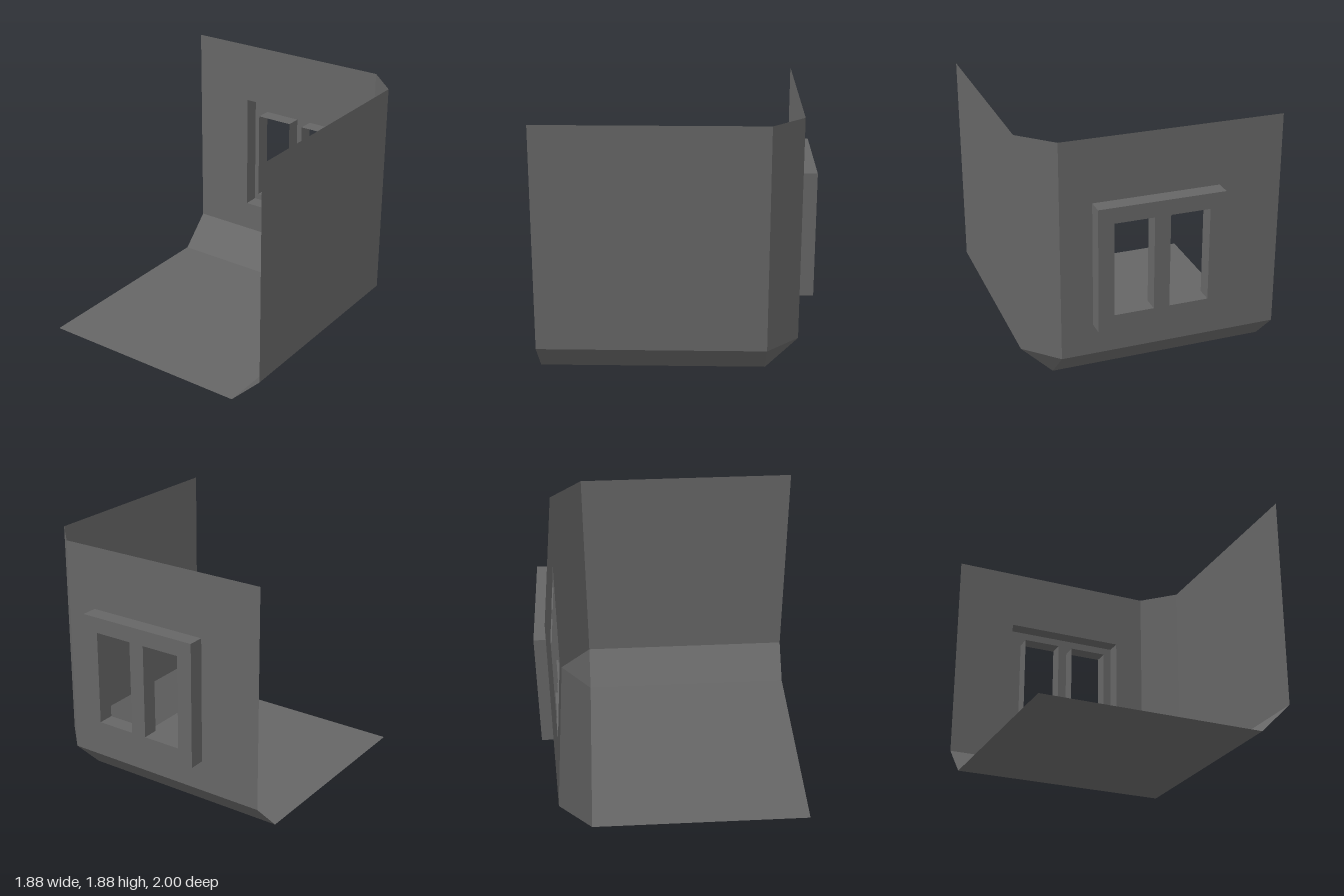
import * as THREE from 'three';

const W = 0.94, H = 1.88, BEVEL = 0.235;
const XB = W - BEVEL;                 // where the floor and back wall meet the bevels
const FRONT = 1, WALL = -0.88, PANEL = -1;
const ZB = WALL + BEVEL;              // where the floor meets the back bevel

const grey = new THREE.MeshStandardMaterial({ color: 0x666666, side: THREE.DoubleSide, flatShading: true });
grey.name = 'dark grey';

// Flat convex sheet from three or four corners
function sheet(name, corners) {
  const geo = new THREE.BufferGeometry();
  geo.setAttribute('position', new THREE.Float32BufferAttribute(corners.flat(), 3));
  geo.setIndex(corners.length === 4 ? [0, 1, 2, 0, 2, 3] : [0, 1, 2]);
  geo.computeVertexNormals();
  const mesh = new THREE.Mesh(geo, grey);
  mesh.name = name;
  return mesh;
}

const rectPoints = ([x0, x1, y0, y1]) =>
  [[x0, y0], [x1, y0], [x1, y1], [x0, y1]].map(([x, y]) => new THREE.Vector2(x, y));

// Upright rectangle at depth z with rectangular openings
function wallWithHoles(name, rect, holes, z) {
  const shape = new THREE.Shape(rectPoints(rect));
  for (const h of holes) shape.holes.push(new THREE.Path(rectPoints(h).reverse()));
  const mesh = new THREE.Mesh(new THREE.ShapeGeometry(shape), grey);
  mesh.name = name;
  mesh.position.z = z;
  return mesh;
}

// Four thin sides of a rectangular opening, from the wall to the window panel
function sleeve(name, rect) {
  const group = new THREE.Group();
  group.name = name;
  const p = rectPoints(rect);
  p.forEach((a, i) => {
    const b = p[(i + 1) % 4];
    group.add(sheet(name + 'Side' + i,
      [[a.x, a.y, WALL], [b.x, b.y, WALL], [b.x, b.y, PANEL], [a.x, a.y, PANEL]]));
  });
  return group;
}

export function createModel() {
  const room = new THREE.Group();
  room.name = 'roomCorner';

  // Floor and side wall
  room.add(sheet('floor', [[-W, 0, FRONT], [XB, 0, FRONT], [XB, 0, ZB], [-W, 0, ZB]]));
  room.add(sheet('sideWall', [[W, BEVEL, FRONT], [W, H, FRONT], [W, H, ZB], [W, BEVEL, ZB]]));

  // Bevels joining floor and walls, with the small corner triangle
  room.add(sheet('backFloorBevel', [[-W, 0, ZB], [XB, 0, ZB], [XB, BEVEL, WALL], [-W, BEVEL, WALL]]));
  room.add(sheet('sideFloorBevel', [[XB, 0, FRONT], [W, BEVEL, FRONT], [W, BEVEL, ZB], [XB, 0, ZB]]));
  room.add(sheet('wallBevel', [[XB, BEVEL, WALL], [W, BEVEL, ZB], [W, H, ZB], [XB, H, WALL]]));
  room.add(sheet('cornerBevel', [[XB, 0, ZB], [W, BEVEL, ZB], [XB, BEVEL, WALL]]));

  // Back wall with the window recess
  const recess = [-0.47, 0.47, 0.47, 1.41];
  const panes = [[-0.353, -0.059, 0.588, 1.293], [0.059, 0.353, 0.588, 1.293]];
  room.add(wallWithHoles('backWall', [-W, XB, BEVEL, H], [recess], WALL));

  // Window: recess sides, rear panel, and a sleeve around each opening
  const window = new THREE.Group();
  window.name = 'window';
  window.add(sleeve('recess', recess));
  window.add(wallWithHoles('windowPanel', recess, panes, PANEL));
  panes.forEach((p, i) => window.add(sleeve(i ? 'leftPane' : 'rightPane', p)));
  room.add(window);

  return room;
}
